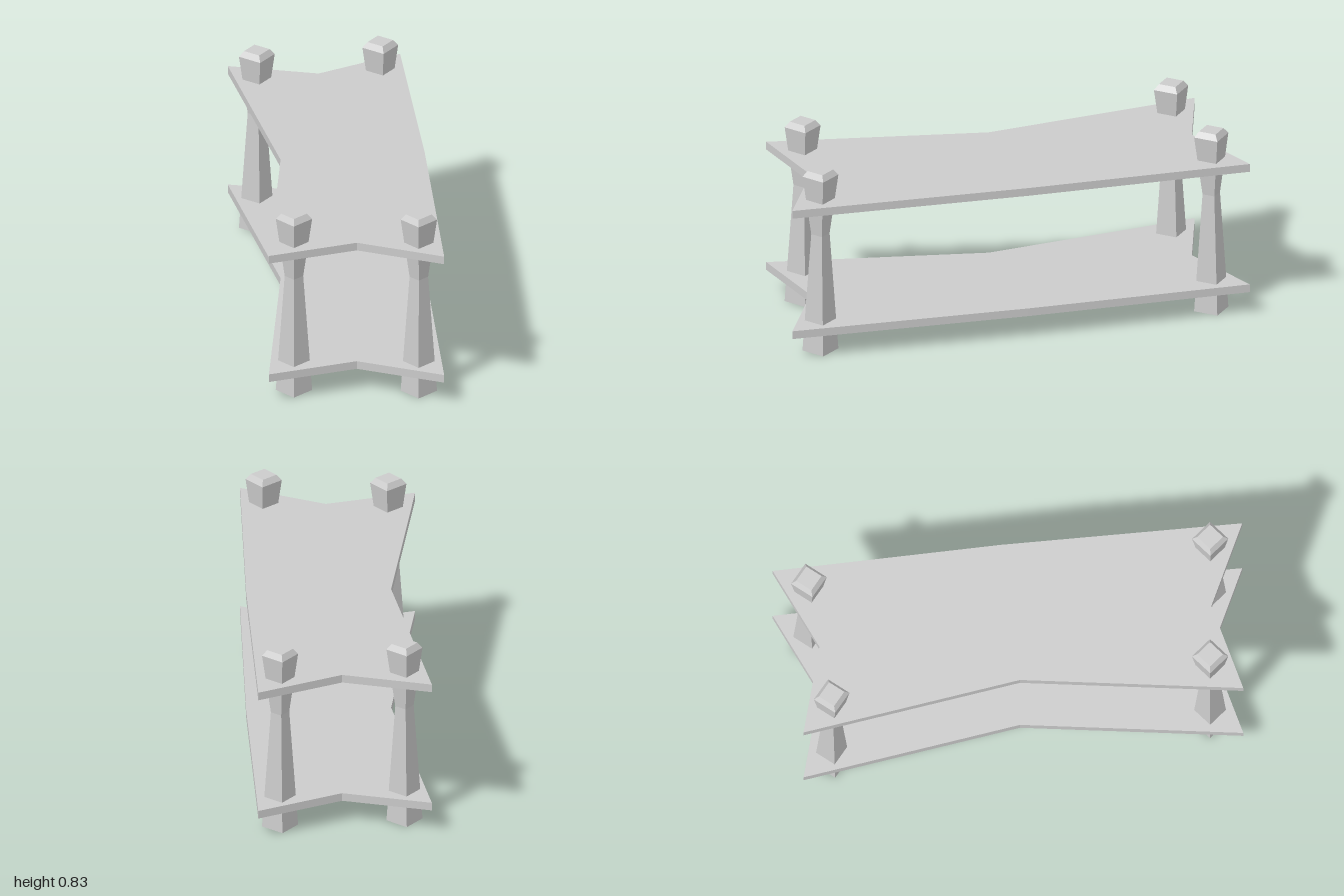
import * as THREE from 'three';

const material = new THREE.MeshStandardMaterial({ color: 0xcccccc, flatShading: true });

// Shelf outline as (x, z), with a notch at each end and a slight bend in the long sides
const OUTLINE = [
  [0.29, -1], [0.515, -0.675], [0.9, -0.57], [0.29, 0.2],
  [-0.375, 0.995], [-0.545, 0.635], [-0.905, 0.465], [-0.2, -0.18],
];

// Post profile as (half width, y): waisted, with a chamfered cap
const PROFILE = [
  [0, 0], [0.055, 0], [0.028, 0.54], [0.055, 0.81], [0.039, 0.835], [0, 0.835],
];

// Posts as [name, x, z, turn]
const POSTS = [
  ['rightPost', -0.73, 0.44, 0],
  ['frontPost', -0.355, 0.82, 0],
  ['backPost', 0.293, -0.826, 0.19],
  ['leftPost', 0.732, -0.52, 0.19],
];

function createShelf(name, y) {
  const shape = new THREE.Shape(OUTLINE.map(([x, z]) => new THREE.Vector2(x, -z)));
  const geometry = new THREE.ExtrudeGeometry(shape, { depth: 0.036, bevelEnabled: false });
  geometry.rotateX(-Math.PI / 2);
  const shelf = new THREE.Mesh(geometry, material);
  shelf.name = name;
  shelf.position.y = y;
  return shelf;
}

function createPost(name, x, z, turn) {
  // Four-sided lathe, scaled so the flat sides sit at the half width
  const points = PROFILE.map(([half, y]) => new THREE.Vector2(half * Math.SQRT2, y));
  const post = new THREE.Mesh(new THREE.LatheGeometry(points, 4, Math.PI / 4), material);
  post.name = name;
  post.position.set(x, 0, z);
  post.rotation.y = turn;
  return post;
}

export function createModel() {
  const model = new THREE.Group();
  model.name = 'twoTierShelf';
  model.add(createShelf('lowerShelf', 0.104), createShelf('upperShelf', 0.665));
  for (const post of POSTS) model.add(createPost(...post));
  return model;
}
